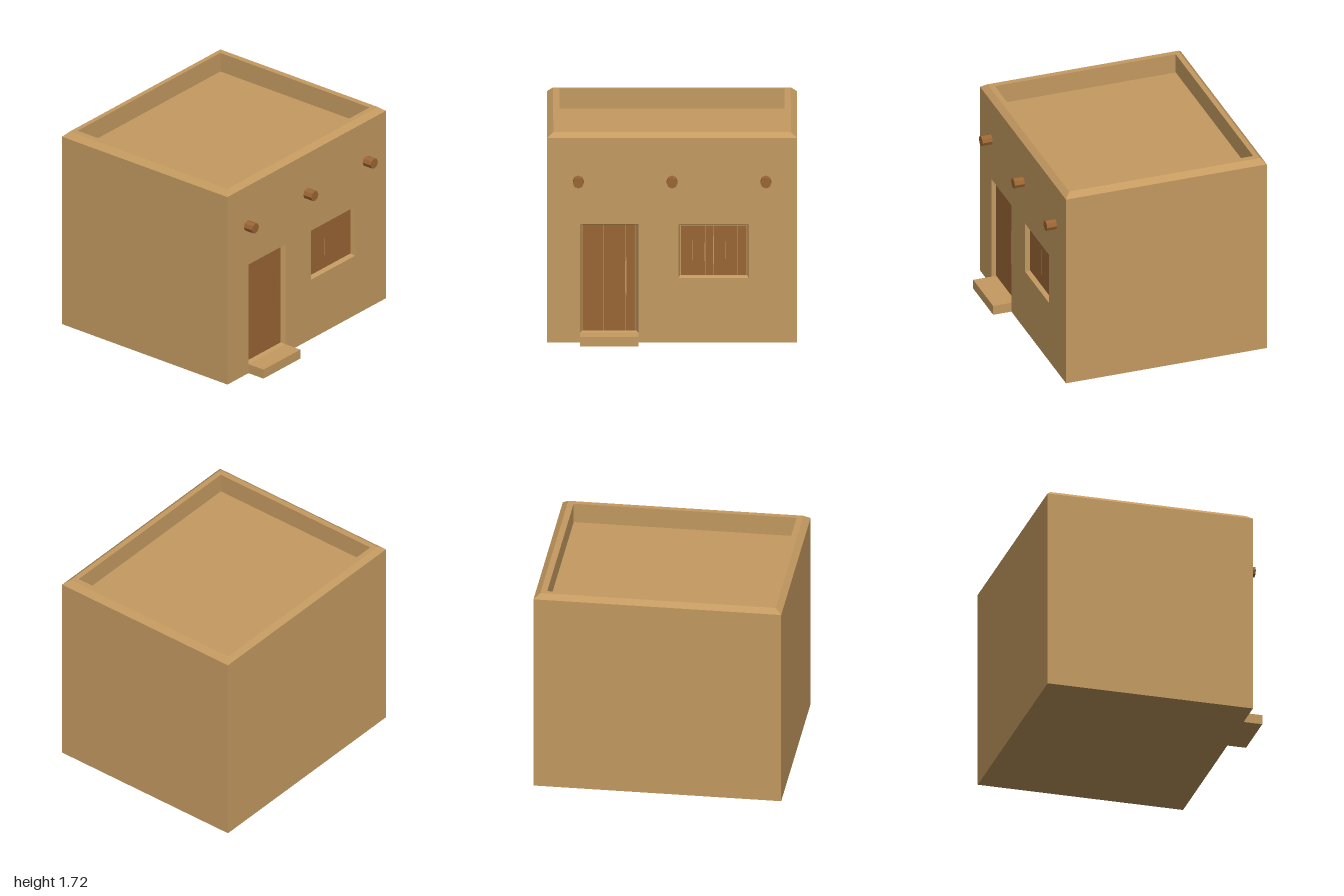
import * as THREE from 'three';

const FRONT = 0.78, BACK = -0.93, DEPTH = 0.04;
const clay = new THREE.MeshStandardMaterial({ color: 0xc49a60, flatShading: true });
const wood = new THREE.MeshStandardMaterial({ color: 0x9b6634, flatShading: true });

// Rectangular rings of four corners: level (seen from above) and upright (seen from the front)
const levelRing = (x, z0, z1, y) => [[-x, y, z1], [x, y, z1], [x, y, z0], [-x, y, z0]];
const uprightRing = ([x0, x1, y0, y1], z) => [[x0, y0, z], [x1, y0, z], [x1, y1, z], [x0, y1, z]];

// Joins successive rings with quads; the last ring is capped
function loft(rings, { skipFirstSide = false, capStart = false } = {}) {
  const pos = [];
  const quad = (a, b, c, d) => pos.push(...a, ...b, ...c, ...a, ...c, ...d);
  for (let r = 0; r < rings.length - 1; r++) {
    const lo = rings[r], hi = rings[r + 1];
    for (let i = 0; i < 4; i++) {
      if (skipFirstSide && r === 0 && i === 0) continue;
      const j = (i + 1) % 4;
      quad(lo[i], lo[j], hi[j], hi[i]);
    }
  }
  quad(...rings[rings.length - 1]);
  if (capStart) quad(...[...rings[0]].reverse());
  const geo = new THREE.BufferGeometry();
  geo.setAttribute('position', new THREE.Float32BufferAttribute(pos, 3));
  geo.computeVertexNormals();
  return geo;
}

function add(parent, name, geo, mat, x = 0, y = 0, z = 0) {
  const mesh = new THREE.Mesh(geo, mat);
  mesh.name = name;
  mesh.position.set(x, y, z);
  parent.add(mesh);
  return mesh;
}

const rectPath = ([x0, x1, y0, y1], Type) => new Type([
  new THREE.Vector2(x0, y0), new THREE.Vector2(x1, y0),
  new THREE.Vector2(x1, y1), new THREE.Vector2(x0, y1)]);

// One board; slit = [x, y0, y1, width] is a thin pointed crack cut through it
function board(x0, x1, y0, y1, slit) {
  const shape = rectPath([x0, x1, y0, y1], THREE.Shape);
  if (slit) {
    const [x, s0, s1, w] = slit, m = (s1 - s0) * 0.3;
    shape.holes.push(new THREE.Path([
      [x, s0], [x + w / 2, s0 + m], [x + w / 2, s1 - m],
      [x, s1], [x - w / 2, s1 - m], [x - w / 2, s0 + m],
    ].map(p => new THREE.Vector2(...p))));
  }
  return new THREE.ExtrudeGeometry(shape, { depth: 0.018, bevelEnabled: false });
}

// A row of boards between the given split positions
function boards(name, splits, y0, y1, slits) {
  const group = new THREE.Group();
  group.name = name;
  for (let i = 0; i < splits.length - 1; i++) {
    add(group, name + 'Board', board(splits[i] + 0.002, splits[i + 1] - 0.002, y0, y1, slits[i]),
      wood, 0, 0, FRONT - DEPTH - 0.012);
  }
  return group;
}

export function createModel() {
  const model = new THREE.Group();
  model.name = 'adobeHouse';

  // Walls, chamfered parapet and sunken roof
  add(model, 'wallsAndRoof', loft([
    levelRing(1, BACK, FRONT, 0),
    levelRing(1, BACK, FRONT, 1.675),
    levelRing(0.95, -0.89, 0.735, 1.715),
    levelRing(0.9, -0.85, 0.69, 1.715),
    levelRing(0.9, -0.85, 0.69, 1.55),
  ], { skipFirstSide: true, capStart: true }), clay);

  // Front wall with slightly flared openings
  const openings = [
    { name: 'doorway', outer: [-0.735, -0.27, 0.08, 0.97], inner: [-0.72, -0.287, 0.09, 0.96] },
    { name: 'windowRecess', outer: [0.052, 0.61, 0.53, 0.968], inner: [0.062, 0.603, 0.54, 0.955] },
  ];
  const front = rectPath([-1, 1, 0, 1.675], THREE.Shape);
  for (const { name, outer, inner } of openings) {
    front.holes.push(rectPath(outer, THREE.Path));
    add(model, name, loft([
      uprightRing(outer, FRONT),
      uprightRing(inner, FRONT - DEPTH),
      uprightRing(inner, FRONT - DEPTH - 0.015),
    ]), clay);
  }
  add(model, 'frontWall', new THREE.ShapeGeometry(front), clay, 0, 0, FRONT);

  // Door and shutter boards with cracks
  model.add(boards('door', [-0.718, -0.55, -0.375, -0.289], 0.092, 0.957,
    [null, null, [-0.368, 0.34, 0.72, 0.01]]));
  model.add(boards('shutter', [0.068, 0.265, 0.328, 0.525, 0.598], 0.547, 0.948,
    [[0.162, 0.63, 0.86, 0.004], null, [0.43, 0.64, 0.85, 0.004], null]));
  // Wider gaps beside the middle shutter board
  for (const [x, y0, y1] of [[0.261, 0.66, 0.81], [0.334, 0.64, 0.87]]) {
    add(model, 'shutterGap', new THREE.PlaneGeometry(0.006, y1 - y0), clay,
      x, (y0 + y1) / 2, FRONT - DEPTH + 0.007);
  }

  // Doorstep
  add(model, 'doorstep', new THREE.BoxGeometry(0.465, 0.08, 0.155), clay, -0.5025, 0.04, FRONT + 0.0775);

  // Protruding roof beams
  for (const x of [-0.75, 0, 0.75]) {
    const beam = new THREE.CylinderGeometry(0.044, 0.044, 0.125, 8).rotateX(Math.PI / 2);
    add(model, 'roofBeam', beam, wood, x, 1.325, 0.8025);
  }
  return model;
}
